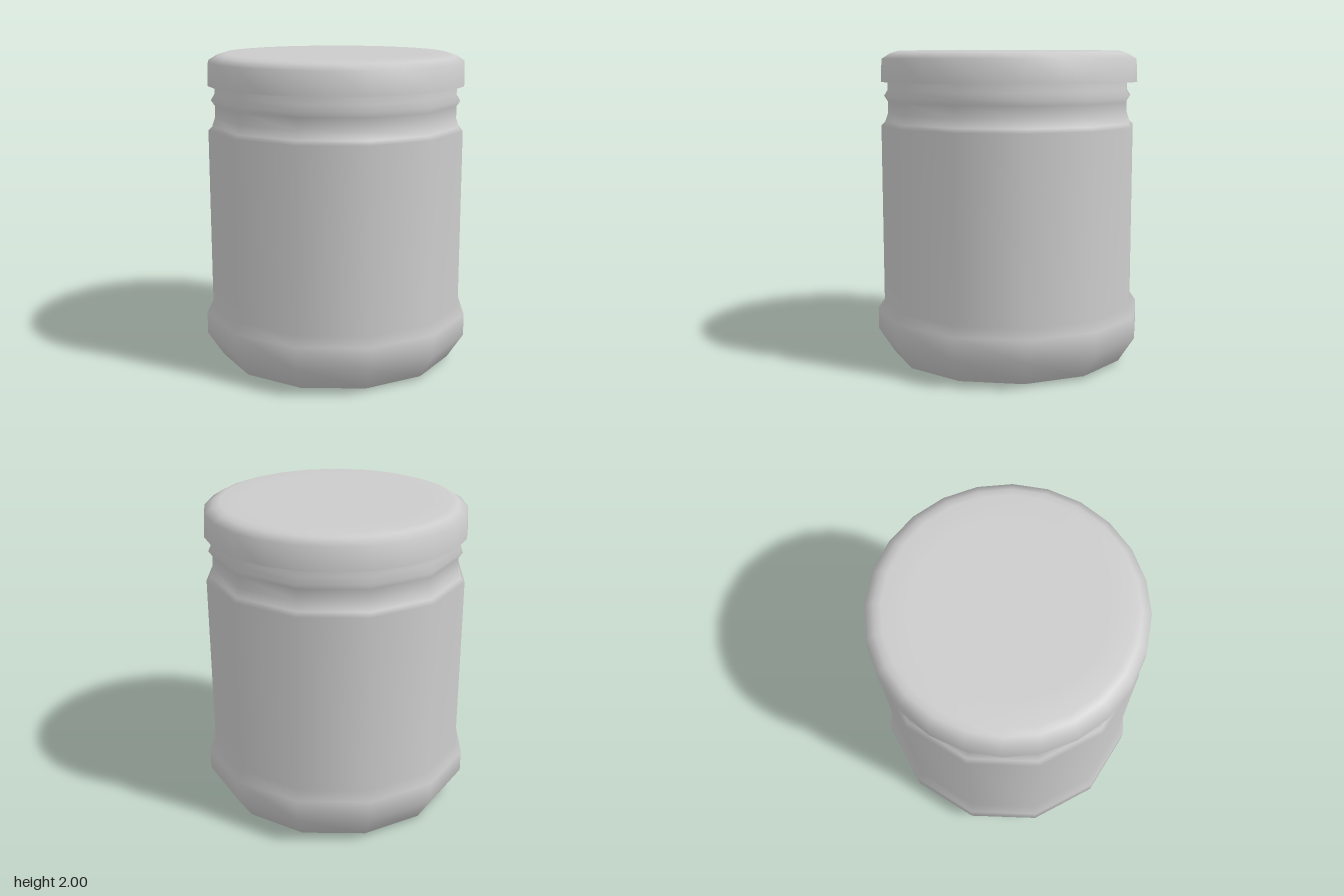
import * as THREE from 'three';

const material = new THREE.MeshStandardMaterial({ color: 0xcccccc, side: THREE.DoubleSide });

// Smooth surface of revolution from [radius, height] pairs, listed bottom to top
function turned(name, profile, sides, start = 0) {
  const points = profile.map(([r, y]) => new THREE.Vector2(r, y));
  const mesh = new THREE.Mesh(new THREE.LatheGeometry(points, sides, start), material);
  mesh.name = name;
  return mesh;
}

export function createModel() {
  const group = new THREE.Group();
  group.name = 'lidded jar';

  // Twelve-sided jar, its flat sides facing the axes.
  // Widths are measured face to face and scaled out to the corners.
  const corner = 1 / Math.cos(Math.PI / 12);
  const jar = [
    [0, 0], [0.62, 0], [0.68, 0.005], [0.74, 0.02],             // base
    [0.84, 0.18], [0.84, 0.32], [0.8, 0.38],                    // foot bulge
    [0.8, 1.525], [0.776, 1.55], [0.758, 1.605],                // wall and shoulder
    [0.757, 1.68], [0.78, 1.715], [0.757, 1.755], [0.757, 1.9], // neck with bead
  ].map(([r, y]) => [r * corner, y]);
  group.add(turned('jarBody', jar, 12, Math.PI / 12));

  // Rounder lid with a softly bevelled top edge
  const lid = new THREE.Group();
  lid.name = 'lid';
  lid.add(turned('lidShell', [
    [0.827, 1.805], [0.82, 1.95], [0.765, 1.985], [0.72, 2], [0.58, 2], [0, 2],
  ], 24));
  lid.add(turned('lidUnderside', [[0.73, 1.805], [0.827, 1.805]], 24));
  group.add(lid);

  return group;
}
